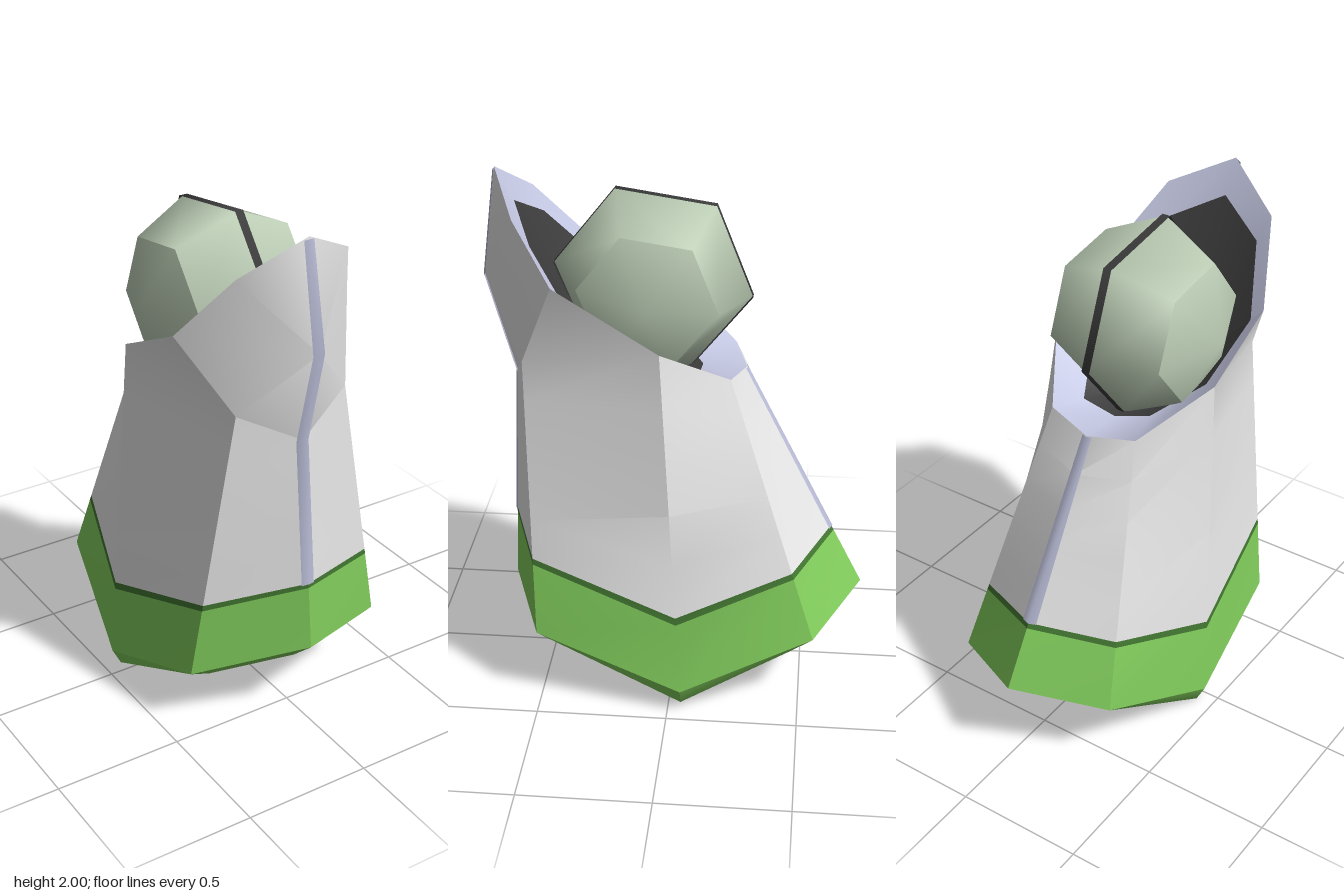
import * as THREE from 'three';
import { toCreasedNormals } from 'three/addons/utils/BufferGeometryUtils.js';

const material = (name, color, side = THREE.FrontSide) => {
  const m = new THREE.MeshStandardMaterial({ color, side });
  m.name = name;
  return m;
};
const lerp = (a, b, t) => a.map((v, k) => v + (b[k] - v) * t);

// Mesh from a list of triangles, each three corner points
function triMesh(name, tris, mat, crease = 0.55) {
  const geo = new THREE.BufferGeometry();
  geo.setAttribute('position', new THREE.Float32BufferAttribute(tris.flat(2), 3));
  const mesh = new THREE.Mesh(toCreasedNormals(geo, crease), mat);
  mesh.name = name;
  return mesh;
}

// Closed band between two loops; flipped lists the quads cut on the other diagonal
function band(a, b, flipped = []) {
  return a.flatMap((p, i) => {
    const j = (i + 1) % a.length;
    return flipped.includes(i)
      ? [[a[j], p, b[j]], [p, b[i], b[j]]]
      : [[a[j], p, b[i]], [a[j], b[i], b[j]]];
  });
}

// Bands through a whole stack of loops
const loft = loops => loops.slice(1).flatMap((loop, i) => band(loops[i], loop));

// Strip three points wide following a ridge; rows are [x, y, z, half width]
function ridgeStrip(rows, side, slope, drop) {
  const lines = rows.map(([x, y, z, w]) => [-1, 0, 1].map(s => [
    x + s * w, y - Math.abs(s) * w * drop, z + side * (0.005 - Math.abs(s) * w * slope)]));
  const tris = [];
  for (let i = 0; i + 1 < lines.length; i++) {
    for (let k = 0; k < 2; k++) {
      const [a, b, c, d] = [lines[i][k], lines[i][k + 1], lines[i + 1][k + 1], lines[i + 1][k]];
      tris.push(...(side > 0 ? [[a, b, c], [a, c, d]] : [[b, a, d], [b, d, c]]));
    }
  }
  return tris;
}

export function createModel() {
  const group = new THREE.Group();
  const white = material('white cloth', 0xe8e8e8);
  const green = material('green', 0x80cb5b);
  const darkGreen = material('dark green', 0x427631);
  const lavender = material('lavender', 0xc5c8e3, THREE.DoubleSide);
  const stripe = material('stripe lavender', 0xb9bcd6, THREE.DoubleSide);
  const dark = material('charcoal', 0x3c3c3c, THREE.DoubleSide);
  const sage = material('sage', 0xbdceb6);

  // Loops run back, +x side, front, -x side
  const hemInner = [[0, 0.25, -0.62], [0.27, 0.18, -0.46], [0.43, 0.03, -0.05], [0.25, 0.21, 0.44],
    [0, 0.23, 0.54], [-0.29, 0.17, 0.4], [-0.43, 0, -0.05], [-0.29, 0.18, -0.46]];
  const hem = [[-0.01, 0.35, -0.73], [0.33, 0.28, -0.55], [0.465, 0.1, -0.05], [0.39, 0.29, 0.51],
    [0, 0.33, 0.65], [-0.41, 0.25, 0.46], [-0.465, 0.07, -0.05], [-0.35, 0.28, -0.55]];
  const back = [-0.05, 1.25, -0.26], backL = [0.14, 1.28, -0.21], backR = [-0.23, 1.27, -0.21];
  const sideL = [0.30, 1.44, 0.04], sideR = [-0.41, 1.44, 0.03];
  const chest = [-0.04, 1.21, 0.62], chestL = [0.18, 1.34, 0.56], chestR = [-0.27, 1.33, 0.54];
  const frontL = [0.27, 1.67, 0.43], frontR = [-0.41, 1.6, 0.36];
  const highL = [0.155, 1.88, 0.58], highR = [-0.30, 1.86, 0.58], peak = [-0.08, 2, 0.68];
  const bulge = [-0.06, 1.59, 0.73];
  const shoulder = [back, backL, sideL, chestL, chest, chestR, sideR, backR];

  // Hem border and its dark trim sit at set heights on each column
  const cut = [0.245, 0.24, 0.21, 0.26, 0.3, 0.26, 0.22, 0.24];
  const borderTop = hem.map((p, i) => lerp(p, shoulder[i], cut[i]));
  const trimTop = hem.map((p, i) => lerp(p, shoulder[i], cut[i] + 0.022));
  group.add(triMesh('hemUnderside', band(hemInner, hem, [2, 6]), green));
  group.add(triMesh('hemBorder', band(hem, borderTop), green));
  group.add(triMesh('hemTrim', band(borderTop, trimTop), darkGreen));

  // Robe walls twist gently, so they are cut into rows
  const rows = [0, 0.2, 0.4, 0.6, 0.8, 1].map(t => trimTop.map((p, i) => lerp(p, shoulder[i], t)));
  group.add(triMesh('robe', [...loft(rows),
    [chestL, sideL, frontL], [sideR, chestR, frontR]], white));

  // Domed hollow underneath
  const vaults = [[0.62, 0.45], [0.52, 0.8]].map(([y, s]) => hemInner.map(p =>
    [p[0] * s, y, p[2] * s]));
  group.add(triMesh('hollow', [...loft([...vaults, hemInner]),
    ...vaults[0].map((p, i) => [vaults[0][(i + 1) % 8], [0, 0.65, 0], p])], darkGreen, 3));

  // Raised collar, a fan around its bulging middle
  const fan = [chest, chestL, frontL, highL, peak, highR, frontR, chestR];
  group.add(triMesh('collar', fan.map((p, i) => [bulge, p, fan[(i + 1) % 8]]), white, 1.4));

  // Collar lining with a dark opening
  const rim = [back, backL, sideL, frontL, highL, peak, highR, frontR, sideR, backR];
  const inset = [0.31, 0.25, 0.3, 0.23, 0.18, 0.17, 0.15, 0.14, 0.2, 0.36];
  const centre = [-0.08, 1.25, 0.28];
  const opening = rim.map((p, i) => lerp(p, centre, inset[i]));
  group.add(triMesh('lining', band(rim, opening), lavender));
  group.add(triMesh('opening', opening.map((p, i) => [opening[(i + 1) % 10], p, centre]), dark));

  // Stripes down the front and back ridges
  group.add(triMesh('frontStripe', ridgeStrip([[...trimTop[4], 0.027], [...chest, 0.026],
    [...bulge, 0.024], [...lerp(peak, bulge, 0.02), 0.02]], 1, 0.36, 0.2), stripe, 1.4));
  group.add(triMesh('backStripe', ridgeStrip([[...trimTop[0], 0.03], [...back, 0.02]],
    -1, 0.38, 0), stripe, 1.4));

  // Faceted ball head lying on its side: barrel, two shallow caps and a middle band
  const head = new THREE.Group();
  head.name = 'head';
  const addPart = (name, geo, mat) => {
    const mesh = new THREE.Mesh(geo.rotateZ(Math.PI / 2).rotateX(0.375), mat);
    mesh.name = name;
    head.add(mesh);
  };
  const start = Math.PI / 2;
  const profile = [[0.262, -0.235], [0.375, 0], [0.262, 0.235]].map(p => new THREE.Vector2(...p));
  addPart('headBarrel', new THREE.LatheGeometry(profile, 6, start), sage);
  for (const s of [1, -1]) {
    const cap = new THREE.ConeGeometry(0.262, 0.107, 6, 1, true, start).translate(0, 0.2885, 0);
    addPart('headCap', toCreasedNormals(s > 0 ? cap : cap.rotateX(Math.PI), 1.3), sage);
  }
  addPart('headBand',
    new THREE.CylinderGeometry(0.377, 0.377, 0.033, 6, 1, true, start), dark);
  head.position.set(-0.06, 1.59, 0.095);
  group.add(head);
  return group;
}
